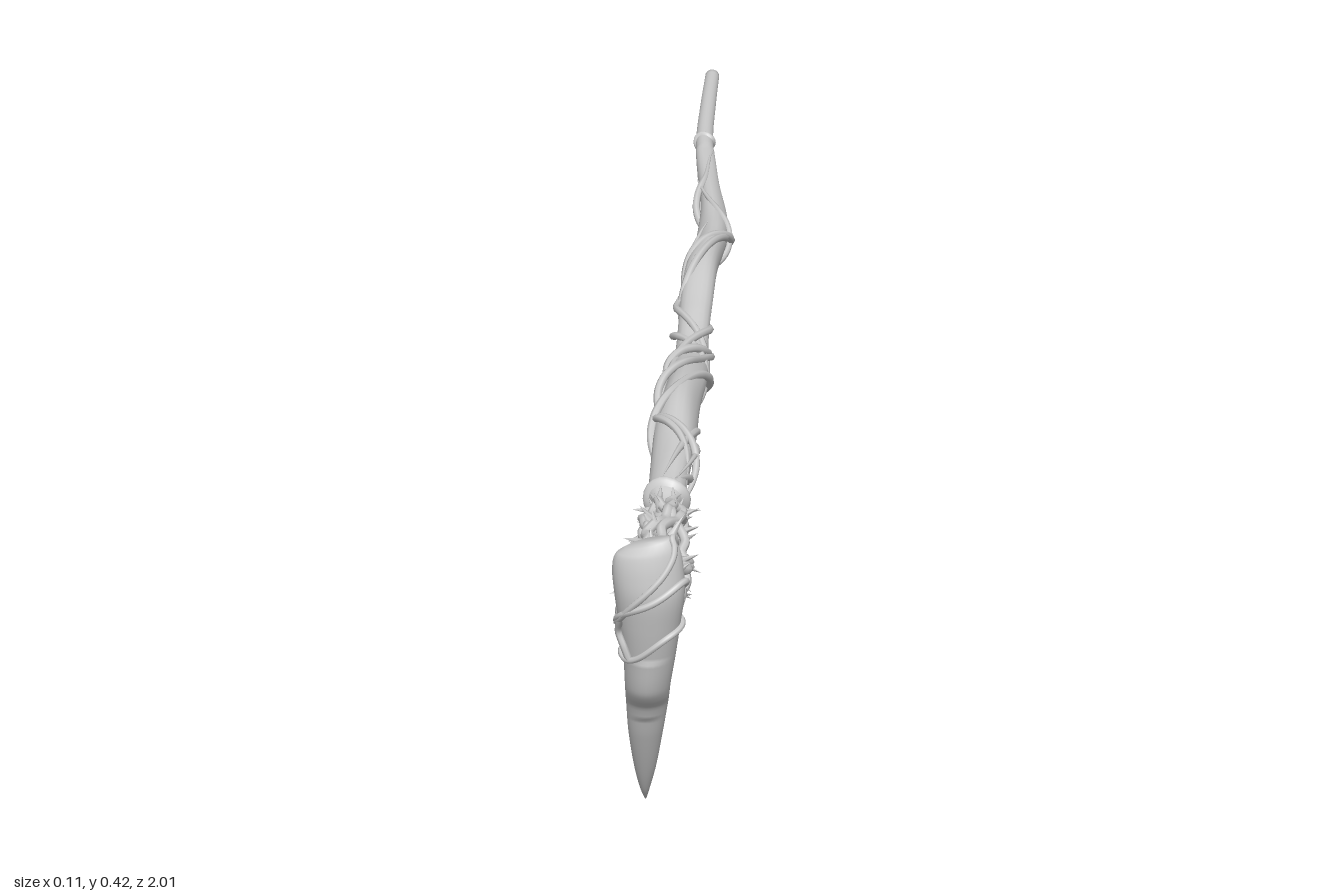
import * as THREE from 'three';

const material = new THREE.MeshStandardMaterial({ color: 0xcccccc });

let seed = 7;
const rand = () => (seed = (seed * 16807) % 2147483647) / 2147483647;

// Smooth interpolation through rows of [key, a, b, ...] with rising keys
function sample(rows, t) {
  let i = 0;
  while (i < rows.length - 2 && t > rows[i + 1][0]) i++;
  const p = rows[i], q = rows[i + 1], h = q[0] - p[0];
  const o = rows[i - 1] ?? p, r = rows[i + 2] ?? q;
  const s = Math.min(1, Math.max(0, (t - p[0]) / h)), s2 = s * s, s3 = s2 * s;
  return p.slice(1).map((v, k) => {
    const c = k + 1;
    const m0 = (q[c] - o[c]) / (q[0] - o[0]) * h, m1 = (r[c] - p[c]) / (r[0] - p[0]) * h;
    return (2 * s3 - 3 * s2 + 1) * v + (s3 - 2 * s2 + s) * m0 + (3 * s2 - 2 * s3) * q[c] + (s3 - s2) * m1;
  });
}

// Closed skin over rings of points given by point(u, angle)
function loft(rings, sides, point) {
  const pos = [], idx = [];
  for (let i = 0; i <= rings; i++) {
    for (let j = 0; j < sides; j++) {
      pos.push(...point(i / rings, j / sides * Math.PI * 2));
      if (i === rings) continue;
      const k = (j + 1) % sides, a = i * sides + j, b = i * sides + k;
      idx.push(a, b, b + sides, a, b + sides, a + sides);
    }
  }
  const g = new THREE.BufferGeometry();
  g.setAttribute('position', new THREE.Float32BufferAttribute(pos, 3));
  g.setIndex(idx);
  g.computeVertexNormals();
  return g;
}

// Round strand through points, thinning at both ends
function strand(points, radius, segments, closed = false) {
  const curve = new THREE.CatmullRomCurve3(points, closed), sides = 7;
  const g = new THREE.TubeGeometry(curve, segments, radius, sides, closed);
  if (closed) return g;
  const p = g.attributes.position, v = new THREE.Vector3();
  for (let i = 0; i <= segments; i++) {
    const u = i / segments, c = curve.getPointAt(u);
    const k = Math.min(1, 0.1 + 8 * Math.min(u, 1 - u));
    for (let j = 0; j <= sides; j++) {
      const n = i * (sides + 1) + j;
      v.fromBufferAttribute(p, n).sub(c).multiplyScalar(k).add(c);
      p.setXYZ(n, v.x, v.y, v.z);
    }
  }
  return g;
}

// z, centre x, centre y, radius
const shaftRows = [
  [-1, -0.03, 0.303, 0.011], [-0.85, -0.029, 0.303, 0.012], [-0.7, -0.026, 0.301, 0.013],
  [-0.55, -0.014, 0.299, 0.015], [-0.4, 0.003, 0.297, 0.019], [-0.28, 0.008, 0.302, 0.022],
  [-0.13, 0.002, 0.314, 0.022], [0, -0.001, 0.294, 0.022], [0.11, 0, 0.278, 0.023],
  [0.25, 0.002, 0.306, 0.026], [0.38, 0, 0.321, 0.027], [0.5, 0.001, 0.311, 0.026],
  [0.6, 0, 0.305, 0.025], [0.63, 0, 0.305, 0.024], [0.655, 0, 0.307, 0.013],
  [0.72, 0.002, 0.309, 0.016], [0.82, 0.004, 0.312, 0.022], [0.95, 0, 0.322, 0.026],
];
function onShaft(z, a, offset = 0, scale = 1) {
  const [x, y, r] = sample(shaftRows, z);
  const d = r * scale + offset;
  return new THREE.Vector3(x + Math.cos(a) * d, y + Math.sin(a) * d, z);
}

// -y, left edge x, right edge x, front z, back z
const headRows = [
  [-0.407, -0.027, 0.027, 0.988, 0.96], [-0.395, -0.039, 0.037, 0.993, 0.95],
  [-0.37, -0.043, 0.042, 0.998, 0.942], [-0.34, -0.041, 0.043, 1, 0.937],
  [-0.3, -0.037, 0.038, 0.993, 0.932], [-0.25, -0.032, 0.031, 0.981, 0.924],
  [-0.205, -0.031, 0.024, 0.969, 0.914], [-0.187, -0.031, 0.022, 0.957, 0.909],
  [-0.172, -0.031, 0.02, 0.943, 0.905], [-0.12, -0.03, 0.012, 0.921, 0.884],
  [-0.06, -0.025, 0.002, 0.892, 0.864], [-0.02, -0.019, -0.007, 0.869, 0.853],
  [0, -0.014, -0.012, 0.853, 0.849],
];
function onHead(y, a, offset = 0) {
  const [l, r, f, b] = sample(headRows, -y);
  const c = Math.cos(a), s = Math.sin(a);
  return new THREE.Vector3(
    (l + r) / 2 + c * ((r - l) / 2 + offset),
    y + (y > 0.37 ? c * 0.007 * (y - 0.37) / 0.037 : 0),
    (f + b) / 2 + s * ((f - b) / 2 + offset));
}

export function createModel() {
  const model = new THREE.Group();
  const add = (name, geometry, parent = model) => {
    const mesh = new THREE.Mesh(geometry, material);
    mesh.name = name;
    parent.add(mesh);
    return mesh;
  };
  const group = (name) => {
    const g = new THREE.Group();
    g.name = name;
    model.add(g);
    return g;
  };

  // Crooked wooden shaft with a gently uneven surface and rounded end
  add('shaft', loft(180, 20, (u, a) => {
    const z = -1 + 1.95 * u;
    const uneven = 1 + (z > -0.65 ? 0.06 * Math.sin(3 * a + 9 * z) + 0.04 * Math.sin(2 * a - 23 * z) : 0);
    return onShaft(z, a, 0, u === 0 || u === 1 ? 0 : uneven);
  }));

  // Raised joints on the handle and below the roots
  for (const [name, z, grow, half] of [['handleJoint', -0.69, 0.004, 0.007], ['neckCollar', 0.628, 0.006, 0.011]]) {
    add(name, loft(12, 20, (u, a) => onShaft(z + (u - 0.5) * 2 * half + 0.003 * Math.sin(2 * a), a,
      -0.004 + (grow + 0.004) * Math.sin(u * Math.PI))));
  }

  // Vines creeping round the shaft: start z, end z, phase, turns, radius
  const vines = group('shaftVines');
  [
    [-0.62, 0.62, 0.4, 3.2, 0.0055], [-0.5, 0.63, 2.6, -2.4, 0.005], [-0.42, 0.3, 4.4, 1.9, 0.006],
    [-0.3, 0.62, 1.5, 2.1, 0.0055], [-0.1, 0.62, 5.4, -2, 0.005], [0.12, 0.63, 3.4, 1.6, 0.006],
  ].forEach(([z0, z1, phase, turns, radius], n) => {
    const points = [];
    const count = Math.ceil((z1 - z0) * 45);
    for (let i = 0; i <= count; i++) {
      const u = i / count, z = z0 + (z1 - z0) * u;
      const a = phase + turns * Math.PI * 2 * u + 0.5 * Math.sin(z * 17 + n * 2);
      points.push(onShaft(z, a, 0.002 + 0.0035 * Math.sin(z * 26 + n * 1.7)));
    }
    add('vine', strand(points, radius, count * 4), vines);
  });

  // Tangled roots gripping the head
  const roots = group('tangledRoots');
  for (let n = 0; n < 10; n++) {
    const points = [], spin = (n % 2 ? 1 : -1) * (1.8 + rand() * 2.5);
    for (let i = 0; i <= 16; i++) {
      const u = i / 16, z = 0.635 + 0.315 * u;
      const a = n / 10 * Math.PI * 2 + spin * u + (rand() - 0.5) * 0.5;
      points.push(onShaft(z, a, Math.min(1, u * 5) * (0.002 + rand() * 0.013)));
    }
    add('root', strand(points, 0.0055 + rand() * 0.002, 70), roots);
  }

  // Thorns pointing out of the roots
  const thorns = group('thorns');
  const up = new THREE.Vector3(0, 1, 0);
  for (let n = 0; n < 46; n++) {
    const z = 0.67 + 0.25 * (n + rand()) / 46, a = n * 2.4 + rand();
    const length = 0.022 + rand() * 0.012;
    const root = onShaft(z, a, 0.004);
    const dir = new THREE.Vector3(Math.cos(a), Math.sin(a), (rand() - 0.5) * 2.2).normalize();
    const thorn = add('thorn', new THREE.ConeGeometry(0.006, length, 6), thorns);
    thorn.quaternion.setFromUnitVectors(up, dir);
    thorn.position.copy(root).addScaledVector(dir, length * 0.4);
  }

  // Curved fang-shaped head, with a blunt step on its front
  add('fangHead', loft(90, 28, (u, a) => {
    if (u === 0) return [0, 0.408, 0.975];
    const y = 0.407 * (1 - u);
    const p = onHead(u < 0.02 ? 0.407 : y, a);
    // Lower part narrows to a ridge at the front
    if (y < 0.25 && y > 0.15) p.z += 0.003 * Math.max(0, Math.sin(a)) ** 4;
    return p;
  }));

  // Strands binding the head: y at mid, tilt, sag on the front, radius
  const bindings = group('headBindings');
  for (const [mid, tilt, sag, radius] of [
    [0.353, 0.052, 0, 0.004], [0.327, 0.027, 0.012, 0.0042], [0.275, 0.024, -0.006, 0.004],
  ]) {
    const points = [];
    for (let i = 0; i < 28; i++) {
      const a = i / 28 * Math.PI * 2;
      const y = mid + tilt * Math.cos(a) + sag * Math.sin(a) + 0.003 * Math.sin(3 * a + mid * 40);
      points.push(onHead(y, a, 0.002));
    }
    add('binding', strand(points, radius, 110, true), bindings);
  }
  // Short link joining the bindings on one side, and root ends spread behind
  add('bindingLink', strand([0.31, 0.29, 0.27, 0.25].map((y, i) => onHead(y, 2.5 + 0.25 * Math.sin(i * 1.6), 0.003)),
    0.0045, 24), bindings);
  for (let n = 0; n < 8; n++) {
    const a = n / 8 * Math.PI * 2 + 0.3, side = Math.cos(a), rise = Math.sin(a);
    add('rootEnd', strand([
      onShaft(0.87, a, 0.004), onShaft(0.91, a + 0.3, 0.01),
      new THREE.Vector3(side * 0.035, 0.318 + rise * 0.043, 0.94),
      new THREE.Vector3(side * 0.04, 0.32 + rise * 0.05, 0.962),
    ], 0.0065, 28), roots);
  }

  return model;
}
